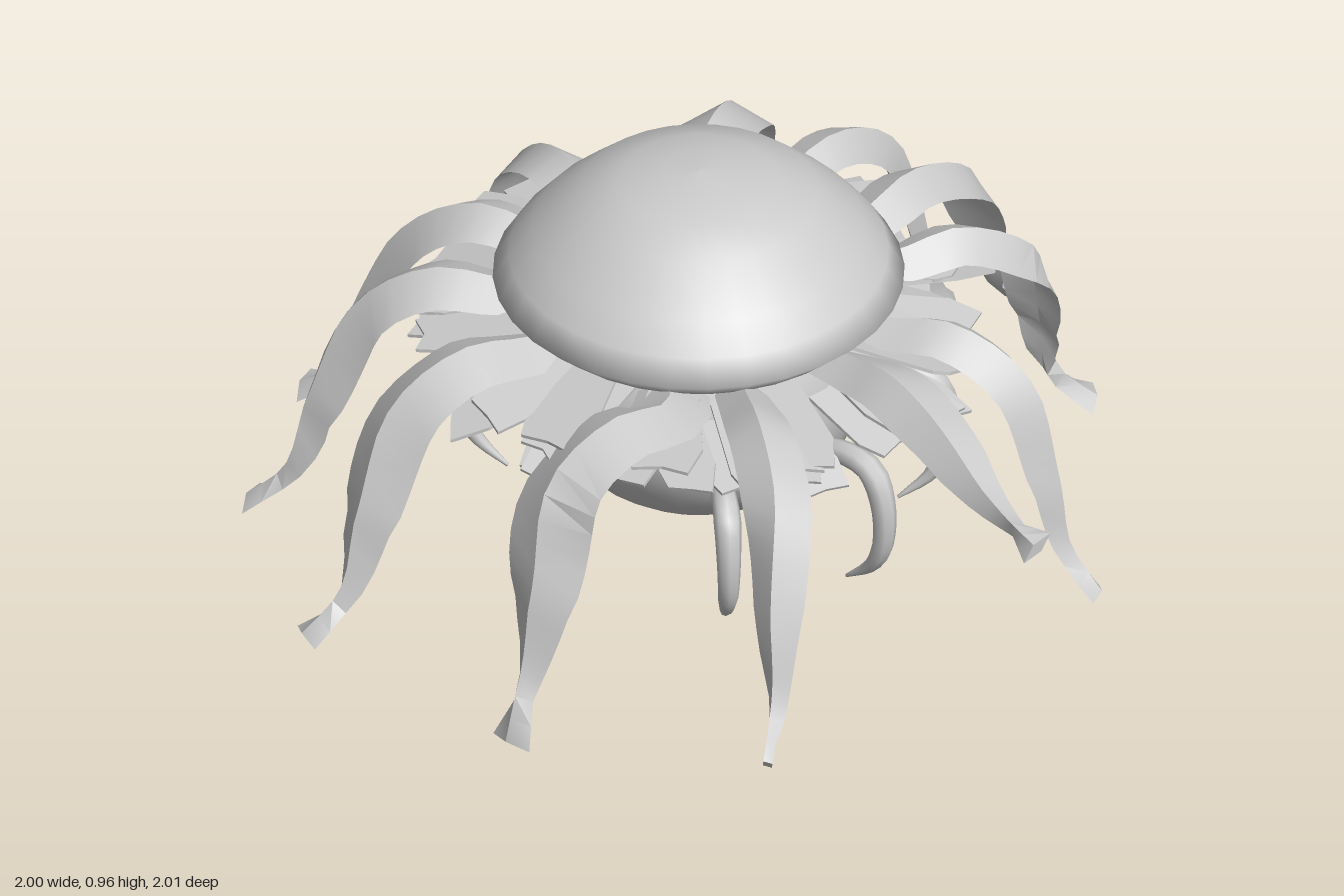
import * as THREE from 'three';
import { toCreasedNormals } from 'three/addons/utils/BufferGeometryUtils.js';

const CX = -0.05, CZ = 0.05; // body axis
const grey = new THREE.MeshStandardMaterial({ color: 0xcccccc, side: THREE.DoubleSide });
const UP = new THREE.Vector3(0, 1, 0);

let seed = 7;
const rand = (a, b) => {
  seed = (seed * 16807) % 2147483647;
  return a + (b - a) * (seed / 2147483647);
};

// Interpolates a list of [t, value] stops
function ramp(stops, t) {
  for (let i = 1; i < stops.length; i++) {
    const [t0, a] = stops[i - 1], [t1, b] = stops[i];
    if (t <= t1) return a + (b - a) * (t - t0) / (t1 - t0);
  }
  return stops[stops.length - 1][1];
}

// Sweeps a changing cross-section along a curve and caps both ends
function sweep(points, steps, section, fixedSide) {
  const curve = new THREE.CatmullRomCurve3(points);
  const pos = [], index = [];
  let n = 0;
  for (let i = 0; i <= steps; i++) {
    const t = i / steps, p = curve.getPointAt(t), tan = curve.getTangentAt(t);
    const side = fixedSide ?? new THREE.Vector3().crossVectors(UP, tan).normalize();
    const nor = new THREE.Vector3().crossVectors(tan, side).normalize();
    const ring = section(t);
    n = ring.length;
    for (const [u, v] of ring) {
      const q = p.clone().addScaledVector(side, u).addScaledVector(nor, v);
      pos.push(q.x, q.y, q.z);
    }
  }
  for (let i = 0; i < steps; i++) {
    for (let j = 0; j < n; j++) {
      const a = i * n + j, b = i * n + (j + 1) % n;
      index.push(a, b, a + n, b, b + n, a + n);
    }
  }
  const e = steps * n;
  for (let j = 1; j < n - 1; j++) index.push(0, j + 1, j, e, e + j, e + j + 1);
  const g = new THREE.BufferGeometry();
  g.setAttribute('position', new THREE.Float32BufferAttribute(pos, 3));
  g.setIndex(index);
  return g;
}

function add(parent, name, geometry) {
  const m = new THREE.Mesh(geometry, grey);
  m.name = name;
  parent.add(m);
  return m;
}

// Long ridged blade that arches out, drops, narrows to a neck and kicks out in a fin
const BLADE_WIDTH = [[0, 0.06], [0.2, 0.085], [0.42, 0.095], [0.65, 0.074], [0.84, 0.032], [0.9, 0.022], [1, 0.055]];
const DROP = [0.64, 0.655, 0.665, 0.575, 0.34, 0.18];

function blade(parent, { base, mid, neck, tip, y = 0.1, w = 1, roll = 0, heights = DROP, fin = 1 }) {
  const at = (a, b, k, h) => new THREE.Vector3(a[0] + (b[0] - a[0]) * k, h, a[1] + (b[1] - a[1]) * k);
  const path = [
    at([CX, CZ], base, 0.7, heights[0]), at(base, mid, 0, heights[1]), at(base, mid, 0.45, heights[2]),
    at(base, mid, 1, heights[3]), at(mid, neck, 0.68, heights[4]), at(mid, neck, 1, heights[5]), at(neck, tip, 1, y),
  ];
  const g = sweep(path, 20, (t) => {
    const s = ramp(BLADE_WIDTH, t) * w * (t > 0.9 ? fin : 1);
    const h = ramp([[0, 0.03], [0.5, 0.045], [0.9, 0.02], [1, 0.006]], t);
    const c = Math.cos(roll * t), d = Math.sin(roll * t);
    return [[s, -0.01], [0, h], [-s, -0.01], [0, h - 0.032]].map(([u, v]) => [u * c - v * d, u * d + v * c]);
  });
  add(parent, 'tentacle', toCreasedNormals(g, 0.5));
}

const BLADES = [
  { base: [0.03, -0.4], mid: [0.01, -0.72], neck: [-0.05, -0.92], tip: [-0.045, -0.99], y: 0.13, w: 0.9 },
  { base: [-0.2, -0.42], mid: [-0.21, -0.7], neck: [-0.2, -0.85], tip: [-0.18, -0.92], y: 0.06, w: 0.7, roll: 0.8 },
  { base: [-0.36, -0.28], mid: [-0.51, -0.57], neck: [-0.63, -0.74], tip: [-0.65, -0.82], y: 0.12, roll: -0.3 },
  { base: [-0.48, -0.06], mid: [-0.72, -0.15], neck: [-0.9, -0.19], tip: [-0.97, -0.24], y: 0.12, w: 0.9, roll: 0.3 },
  { base: [-0.48, 0.12], mid: [-0.72, 0.2], neck: [-0.89, 0.29], tip: [-0.97, 0.31], y: 0.13, w: 0.9, roll: -0.3 },
  { base: [-0.4, 0.33], mid: [-0.61, 0.48], neck: [-0.71, 0.63], tip: [-0.8, 0.67], y: 0.1, w: 1.1 },
  { base: [-0.2, 0.47], mid: [-0.3, 0.72], neck: [-0.31, 0.9], tip: [-0.35, 0.99], y: 0.11, w: 1.15, roll: 0.2 },
  { base: [0.2, 0.44], mid: [0.14, 0.7], neck: [0.17, 0.84], tip: [0.18, 0.92], y: 0.04, w: 1.25, roll: 0.4 },
  { base: [0.31, 0.29], mid: [0.54, 0.45], neck: [0.67, 0.6], tip: [0.72, 0.69], y: 0.12, w: 0.8, roll: 0.5, fin: 0.3 },
  // The raised one
  { base: [0.4, 0.04], mid: [0.67, 0.07], neck: [0.88, 0.09], tip: [0.99, 0.12], y: 0.52, w: 0.8, roll: 0.7,
    heights: [0.65, 0.665, 0.68, 0.635, 0.55, 0.525] },
  { base: [0.36, -0.14], mid: [0.6, -0.24], neck: [0.72, -0.27], tip: [0.8, -0.3], y: 0.09, w: 0.9, roll: -0.3 },
  { base: [0.19, -0.35], mid: [0.29, -0.6], neck: [0.25, -0.75], tip: [0.31, -0.83], y: 0.1, w: 0.85, roll: 0.3 },
];

// Tapered, inward-hooked claw
const CLAW_ANGLES = [-43, 0, 41, 155, 184, 222];

function claw(parent, degrees) {
  const angle = degrees * Math.PI / 180, c = Math.cos(angle), s = Math.sin(angle);
  const path = [[0.3, 0.4], [0.42, 0.44], [0.5, 0.43], [0.535, 0.36], [0.535, 0.25], [0.5, 0.18], [0.43, 0.12]]
    .map(([r, y]) => new THREE.Vector3(CX + c * r, y, CZ + s * r));
  const g = sweep(path, 20, (t) => {
    const r = ramp([[0, 0.022], [0.4, 0.03], [0.75, 0.022], [1, 0.004]], t);
    return Array.from({ length: 8 }, (_, k) => [r * Math.cos(k * Math.PI / 4), r * Math.sin(k * Math.PI / 4)]);
  }, new THREE.Vector3(s, 0, -c));
  g.computeVertexNormals();
  add(parent, 'claw', g);
}

// Thin jagged plate pointing outward from under the cap, slightly askew
function plate(parent, angle, radius, y, slope, length, width) {
  const k = rand(0.8, 1);
  const outline = [[0, -width * 0.3], [length * 0.7, -width * 0.5], [length * k, -width * 0.4],
    [length * 0.93, 0], [length, width * 0.35], [length * 0.75, width * 0.5], [0, width * 0.3]];
  const shape = new THREE.Shape(outline.map(([a, b]) => new THREE.Vector2(a, b)));
  const g = new THREE.ExtrudeGeometry(shape, { depth: 0.008, bevelEnabled: false });
  g.rotateX(-Math.PI / 2 + rand(-0.25, 0.25)).rotateZ(-slope).rotateY(rand(-0.35, 0.35));
  g.translate(radius, y, 0).rotateY(-angle);
  add(parent, 'frillPlate', g).position.set(CX, 0, CZ);
}

export function createModel() {
  const model = new THREE.Group();
  model.name = 'tentacledCreature';

  // Lens-shaped cap and the round body below it
  const capProfile = [[0, 0.635], [0.3, 0.645], [0.385, 0.665], [0.445, 0.72], [0.41, 0.775],
    [0.36, 0.835], [0.26, 0.925], [0.17, 0.962], [0.08, 0.98], [0, 0.985]];
  const cap = add(model, 'cap', new THREE.LatheGeometry(capProfile.map(([r, y]) => new THREE.Vector2(r, y)), 32));
  cap.position.set(CX, 0, CZ);
  const body = add(model, 'body', new THREE.SphereGeometry(0.375, 32, 20));
  body.scale.y = 0.92;
  body.position.set(CX, 0.51, CZ);

  const tentacles = new THREE.Group();
  tentacles.name = 'tentacles';
  BLADES.forEach((b) => blade(tentacles, b));

  const claws = new THREE.Group();
  claws.name = 'claws';
  CLAW_ANGLES.forEach((a) => claw(claws, a));

  // Three layers of plates, steeper and shorter lower down
  const frill = new THREE.Group();
  frill.name = 'frill';
  const layers = [[20, 0.32, 0.65, 0.14, 0.33], [18, 0.32, 0.625, 0.24, 0.32], [16, 0.33, 0.585, 0.34, 0.26]];
  for (const [count, r, y, slope, length] of layers) {
    for (let i = 0; i < count; i++) {
      const angle = (i + rand(-0.25, 0.25)) / count * Math.PI * 2;
      plate(frill, angle, r, y, slope + rand(-0.08, 0.08), length * rand(0.85, 1.08), rand(0.11, 0.17));
    }
  }

  model.add(tentacles, claws, frill);
  return model;
}
